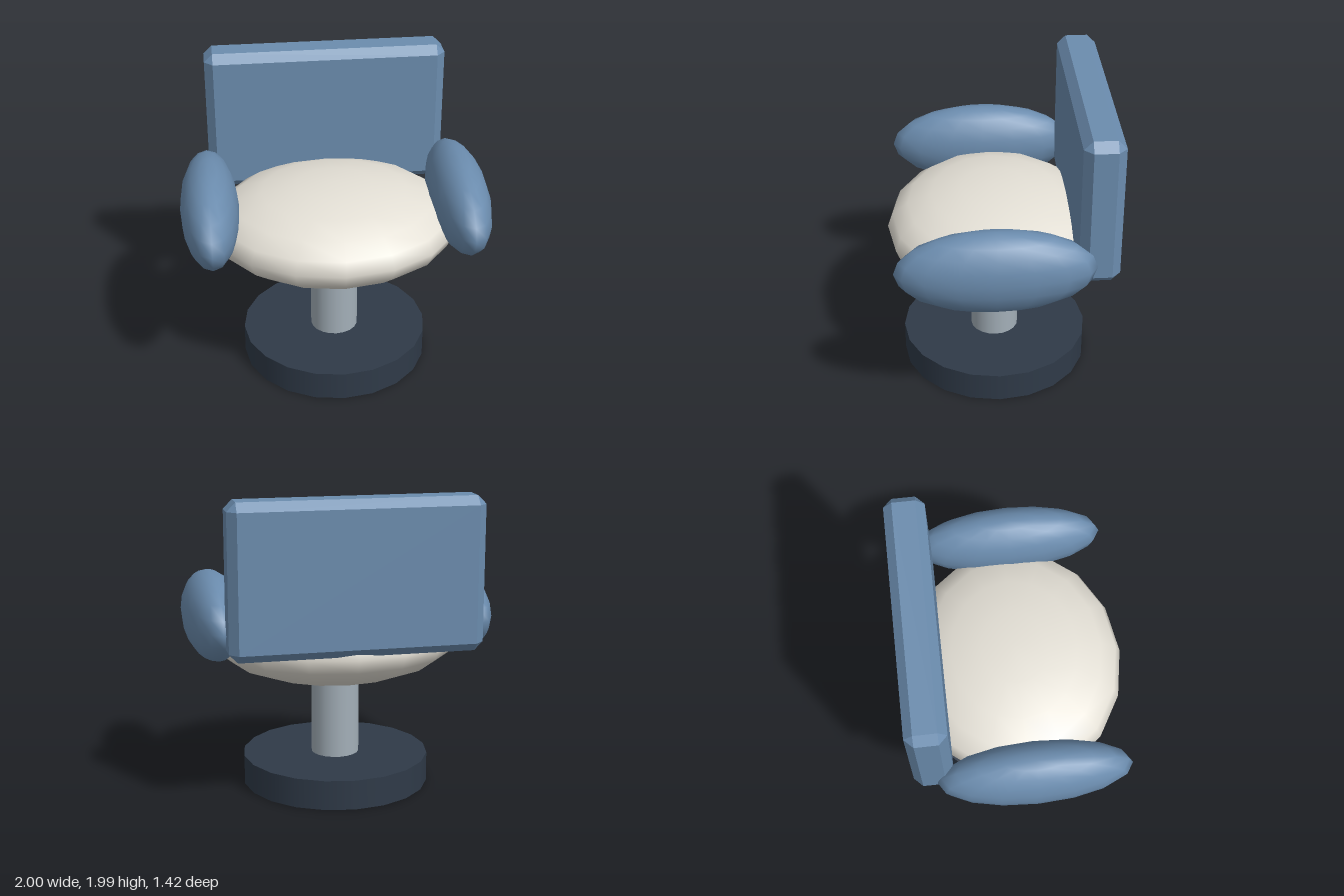
import * as THREE from 'three';
import { ConvexGeometry } from 'three/addons/geometries/ConvexGeometry.js';

const blue = new THREE.MeshStandardMaterial({ color: 0x6b8cae });
const cream = new THREE.MeshStandardMaterial({ color: 0xe3dfd5 });
const steel = new THREE.MeshStandardMaterial({ color: 0xa3afb8 });
const dark = new THREE.MeshStandardMaterial({ color: 0x2f3a48 });

function part(name, geometry, material, x, y, z) {
  const mesh = new THREE.Mesh(geometry, material);
  mesh.name = name;
  mesh.position.set(x, y, z);
  return mesh;
}

function ellipsoid(rx, ry, rz) {
  return new THREE.SphereGeometry(1, 16, 10).scale(rx, ry, rz);
}

// Box with one flat chamfer on every edge and a triangle at each corner
function chamferedBox(w, h, d, c) {
  const points = [];
  for (const sx of [-1, 1]) for (const sy of [-1, 1]) for (const sz of [-1, 1]) {
    const corner = new THREE.Vector3(sx * w / 2, sy * h / 2, sz * d / 2);
    const inner = new THREE.Vector3(sx * (w / 2 - c), sy * (h / 2 - c), sz * (d / 2 - c));
    for (const axis of ['x', 'y', 'z']) {
      const p = inner.clone();
      p[axis] = corner[axis];
      points.push(p);
    }
  }
  return new ConvexGeometry(points);
}

export function createModel() {
  const chair = new THREE.Group();
  chair.name = 'swivelChair';

  // Pedestal
  chair.add(part('base', new THREE.CylinderGeometry(0.617, 0.617, 0.194, 20), dark, 0, 0.097, 0.01));
  chair.add(part('post', new THREE.CylinderGeometry(0.158, 0.158, 0.64, 20), steel, 0, 0.5, 0.01));

  // Cushion and backrest
  chair.add(part('seat', ellipsoid(0.81, 0.291, 0.7), cream, 0, 0.997, 0.008));
  chair.add(part('backrest', chamferedBox(1.59, 0.97, 0.255, 0.055), blue, 0, 1.503, -0.588));

  // Armrests
  for (const [name, side] of [['leftArmrest', 1], ['rightArmrest', -1]]) {
    chair.add(part(name, ellipsoid(0.19, 0.275, 0.616), blue, side * 0.81, 1.164, 0.05));
  }
  return chair;
}
